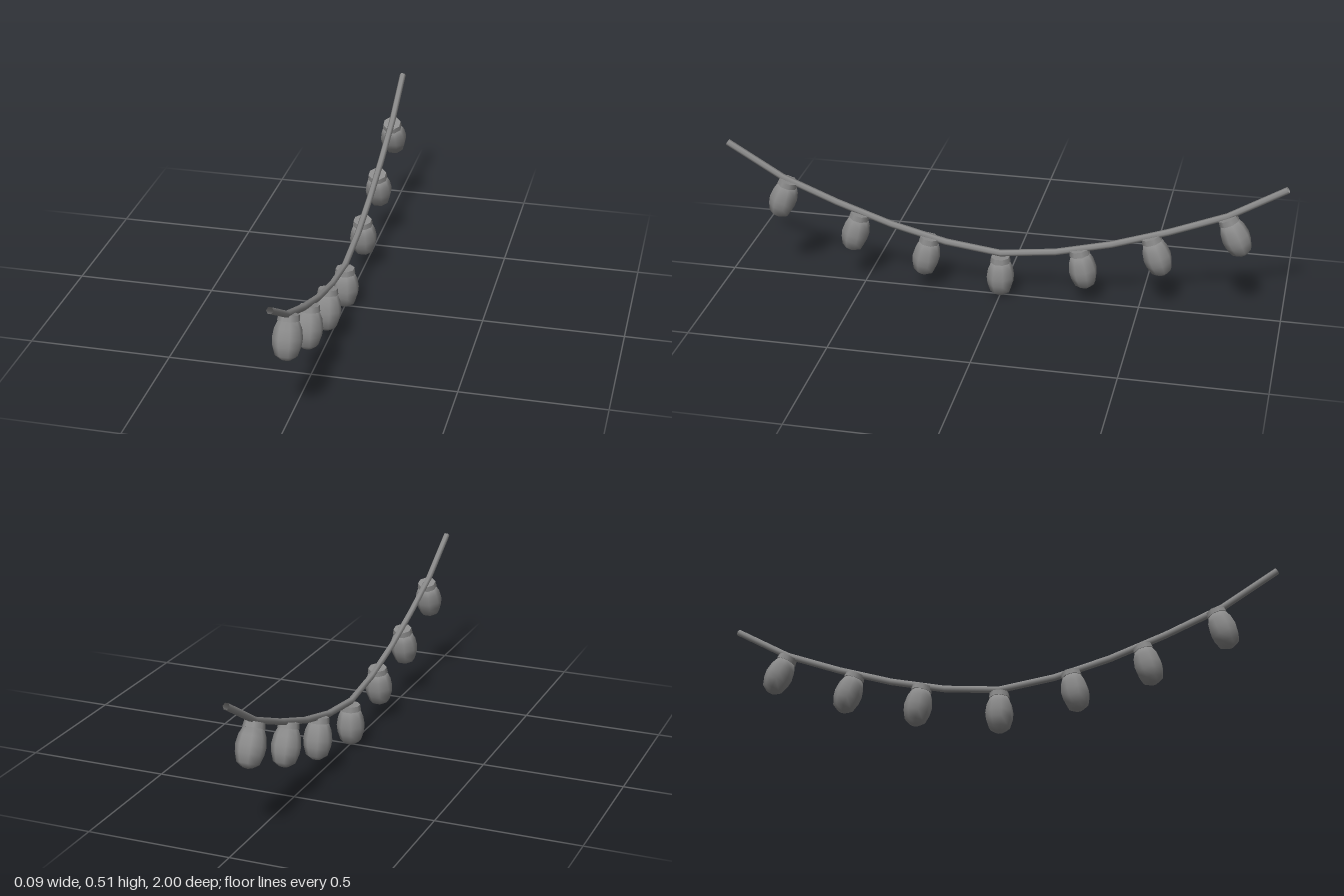
import * as THREE from 'three';

const GREY = 0x8b8b8b;
const material = new THREE.MeshStandardMaterial({ color: GREY });
const wireMaterial = new THREE.MeshStandardMaterial({ color: GREY, side: THREE.DoubleSide });

// Sagging wire path: straight runs between the heights at |z| = 0, 0.2 ... 1
const SAG = [0.165, 0.19, 0.24, 0.308, 0.388, 0.507];

class WireCurve extends THREE.Curve {
  getPoint(t, target = new THREE.Vector3()) {
    const s = Math.abs(t * 10 - 5);
    const i = Math.min(Math.floor(s), 4);
    const z = (t * 2 - 1) * 0.995;
    return target.set(0, THREE.MathUtils.lerp(SAG[i], SAG[i + 1], s - i), z);
  }
  // Even steps in t keep the tube's rings on the bends
  getPointAt(u, target) { return this.getPoint(u, target); }
  getTangentAt(u, target) { return this.getTangent(u, target); }
}

// Eight-sided bulb, measured down from the wire at y = 0, with flats towards the sides
const profile = [
  [0, -0.162], [0.016, -0.159], [0.037, -0.145], [0.047, -0.114],
  [0.05, -0.088], [0.045, -0.056], [0.034, -0.031], [0, -0.029],
].map(([r, y]) => new THREE.Vector2(r, y));
const bulbGeometry = new THREE.LatheGeometry(profile, 8).rotateY(Math.PI / 8);
const socketGeometry = new THREE.CylinderGeometry(0.034, 0.037, 0.02, 8)
  .rotateY(Math.PI / 8).translate(0, -0.021, 0);

function createLight(z, y, tilt) {
  const light = new THREE.Group();
  light.name = 'light';
  const bulb = new THREE.Mesh(bulbGeometry, material);
  bulb.name = 'bulb';
  const socket = new THREE.Mesh(socketGeometry, material);
  socket.name = 'socket';
  light.add(bulb, socket);
  light.position.set(0, y, z);
  light.rotation.x = -THREE.MathUtils.degToRad(tilt);
  return light;
}

export function createModel() {
  const group = new THREE.Group();
  group.name = 'stringLights';

  // Six-sided wire
  const wire = new THREE.Mesh(new THREE.TubeGeometry(new WireCurve(), 10, 0.012, 6), wireMaterial);
  wire.name = 'wire';
  group.add(wire);

  // Place along the wire, height and outward tilt in degrees
  const lights = [
    [0.77, 0.388, 18], [0.51, 0.283, 14], [0.256, 0.214, 10], [0, 0.163, 0],
    [-0.28, 0.22, -11], [-0.53, 0.294, -19], [-0.79, 0.393, -25],
  ];
  for (const [z, y, tilt] of lights) group.add(createLight(z, y, tilt));
  return group;
}
